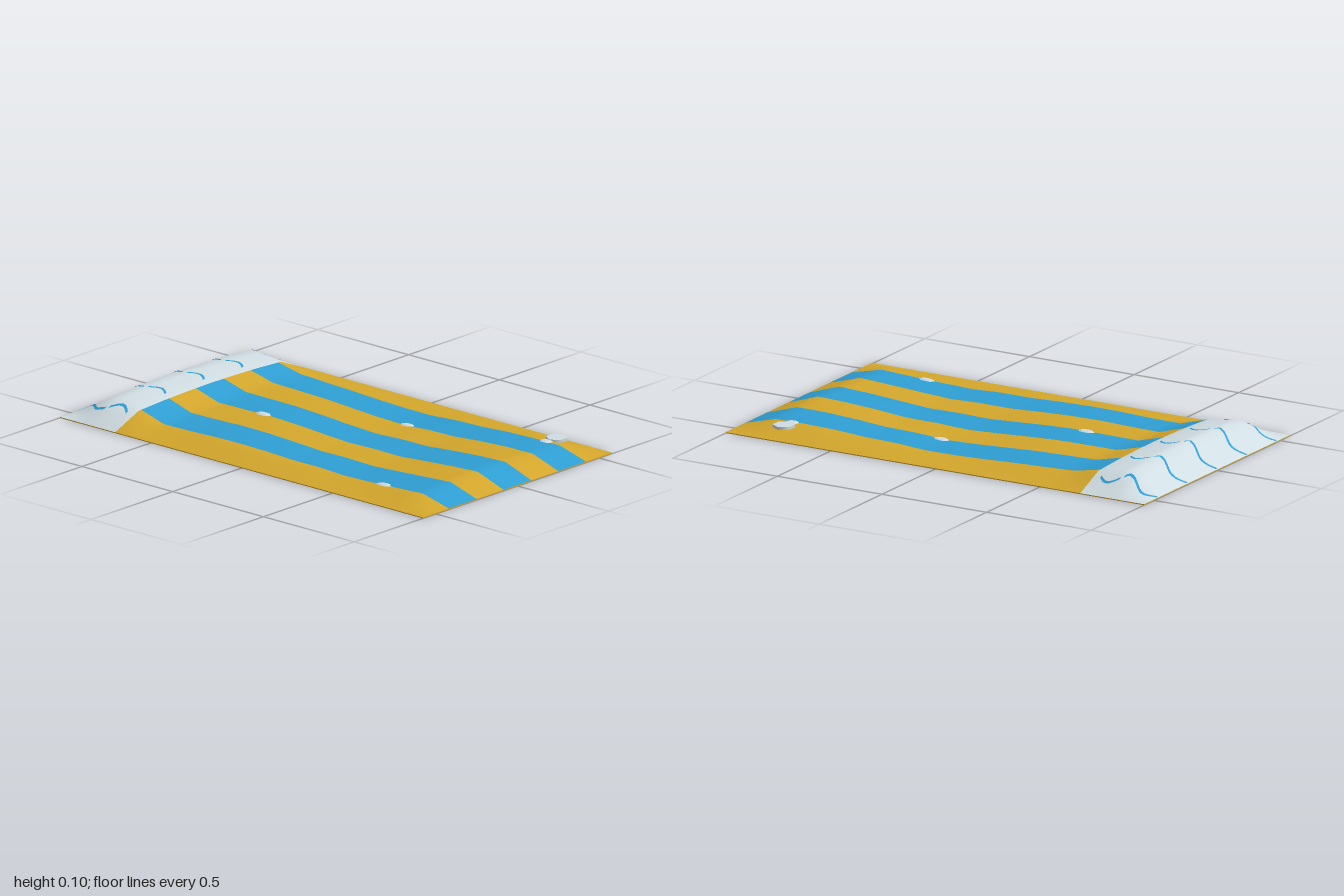
import * as THREE from 'three';

const HALF_Z = 0.58, BASE = 0.004, COLS = 14, ROWS = 8;
const PILLOW_X = -0.695;

// Lengthwise ridge heights (pillow first) and crosswise falloff
const ridge = [0, 0.094, 0.077, 0.036, 0.033, 0.033, 0.03, 0.026, 0.023, 0.029, 0.027, 0.034, 0.039, 0.042, 0];
const across = [0, 0.82, 0.92, 0.975, 1, 0.975, 0.92, 0.82, 0];

function knot(i, j) {
  const x = -1 + (2 * i) / COLS, z = -HALF_Z + (2 * HALF_Z * j) / ROWS;
  const inside = i > 2 && i < COLS && j > 0 && j < ROWS;
  const ripple = inside ? 0.007 * Math.sin(5 * x - 3.5 * z - 3) : 0;
  return ridge[i] * across[j] + ripple;
}

// Surface height of the draped cloth at any point
function height(x, z) {
  const u = THREE.MathUtils.clamp(((x + 1) / 2) * COLS, 0, COLS - 1e-6);
  const v = THREE.MathUtils.clamp(((z + HALF_Z) / (2 * HALF_Z)) * ROWS, 0, ROWS - 1e-6);
  const i = Math.floor(u), j = Math.floor(v), a = u - i, b = v - j;
  const h0 = knot(i, j) * (1 - b) + knot(i, j + 1) * b;
  const h1 = knot(i + 1, j) * (1 - b) + knot(i + 1, j + 1) * b;
  return BASE + h0 * (1 - a) + h1 * a;
}

// Smoothed slope, shared by neighbouring patches so no seams show
function normalAt(x, z) {
  const d = 0.05;
  const xa = Math.max(-1, x - d), xb = Math.min(1, x + d);
  const za = Math.max(-HALF_Z, z - d), zb = Math.min(HALF_Z, z + d);
  return new THREE.Vector3(
    -(height(xb, z) - height(xa, z)) / (xb - xa), 1,
    -(height(x, zb) - height(x, za)) / (zb - za)).normalize();
}

// Grid whose points come from a rule (s, t) -> [x, z], laid on the cloth
function drape(nx, nz, rule, lift = 0) {
  const pos = [], nor = [], idx = [];
  for (let i = 0; i <= nx; i++) {
    for (let j = 0; j <= nz; j++) {
      const [x, z] = rule(i / nx, j / nz);
      pos.push(x, height(x, z) + lift, z);
      nor.push(...normalAt(x, z).toArray());
      if (i < nx && j < nz) {
        const a = i * (nz + 1) + j, b = a + nz + 1;
        idx.push(a, a + 1, b, b, a + 1, b + 1);
      }
    }
  }
  const geo = new THREE.BufferGeometry();
  geo.setAttribute('position', new THREE.Float32BufferAttribute(pos, 3));
  geo.setAttribute('normal', new THREE.Float32BufferAttribute(nor, 3));
  geo.setIndex(idx);
  return geo;
}

const patch = (x0, x1, z0, z1, nx, nz) =>
  drape(nx, nz, (s, t) => [x0 + (x1 - x0) * s, z0 + (z1 - z0) * t]);

export function createModel() {
  const group = new THREE.Group();
  const material = (name, color) => {
    const m = new THREE.MeshStandardMaterial({ color, side: THREE.DoubleSide });
    m.name = name;
    return m;
  };
  const ochre = material('ochre', 0xd4a72c);
  const blue = material('blue', 0x2f9fd4);
  const pale = material('pale grey', 0xd0dde2);

  const add = (name, geo, mat) => {
    const mesh = new THREE.Mesh(geo, mat);
    mesh.name = name;
    group.add(mesh);
    return mesh;
  };

  // Flat underside
  add('underside', new THREE.BoxGeometry(2, BASE, 2 * HALF_Z), ochre).position.y = BASE / 2;

  // Raised pillow end
  add('pillow', patch(-1, PILLOW_X, -HALF_Z, HALF_Z, 24, 64), pale);

  // Lengthwise stripes
  const edges = [-HALF_Z, -0.42, -0.25, -0.085, 0.085, 0.25, 0.42, HALF_Z];
  for (let k = 0; k < 7; k++) {
    add('stripe' + (k + 1), patch(PILLOW_X, 1, edges[k], edges[k + 1], 96, 10), k % 2 ? blue : ochre);
  }

  // Wavy lines on the pillow, each in two strokes
  for (let k = -2; k <= 2; k++) {
    for (const [x0, x1] of [[-0.998, -0.835], [-0.822, -0.73]]) {
      const wave = drape(30, 1, (s, t) => {
        const x = x0 + (x1 - x0) * s;
        const z = k * 0.236 - 0.003 - 0.026 * Math.cos((2 * Math.PI * (x + 0.95)) / 0.175);
        return [x, z + (t - 0.5) * 0.014];
      }, 0.002);
      add('wavyLine', wave, blue);
    }
  }

  // Small pale tufts along the stripe seams
  const tufts = [[0.165, -0.255, 0.048, 0.024], [-0.325, 0.082, 0.048, 0.026],
    [0.638, 0.418, 0.048, 0.024], [0.775, -0.43, 0.038, 0.028]];
  for (const [x, z, rx, rz] of tufts) {
    const geo = new THREE.CylinderGeometry(0.5, 1, 1, 6).rotateY(Math.PI / 2);
    const tuft = add('tuft', geo, pale);
    tuft.scale.set(rx, 0.008, rz);
    tuft.position.set(x, height(x, z) + 0.001, z);
    tuft.quaternion.setFromUnitVectors(new THREE.Vector3(0, 1, 0), normalAt(x, z));
  }

  // Six-sided disc near the foot
  const disc = add('disc', new THREE.CylinderGeometry(0.046, 0.046, 0.012, 6), pale);
  disc.position.set(0.78, 0.041, -0.485);

  return group;
}
